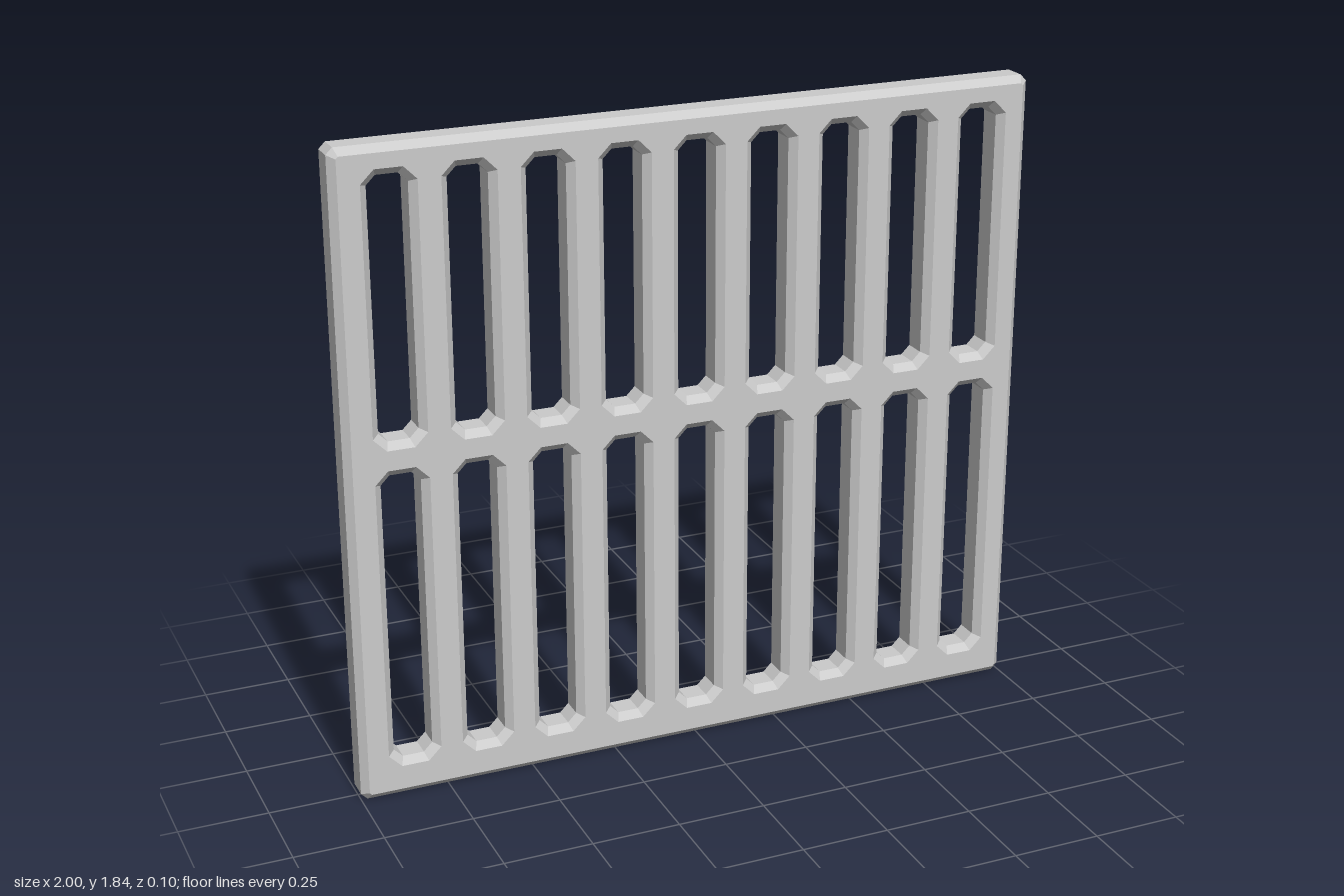
import * as THREE from 'three';

// Rectangle with clipped corners, as a list of points
function clippedRect(x0, y0, x1, y1, c) {
  return [
    [x0 + c, y0], [x1 - c, y0], [x1, y0 + c], [x1, y1 - c],
    [x1 - c, y1], [x0 + c, y1], [x0, y1 - c], [x0, y0 + c],
  ].map(([x, y]) => new THREE.Vector2(x, y));
}

export function createModel() {
  const group = new THREE.Group();
  group.name = 'slottedGrate';
  const height = 1.84, thickness = 0.104, bevel = 0.02;

  // Outer panel outline
  const panel = new THREE.Shape(clippedRect(-1, 0, 1, height, 0.018));

  // Two rows of nine tall slots
  const columns = 9, pitch = 0.2125, halfWidth = 0.055;
  const rows = [[0.11, 0.944], [1.04, 1.758]];
  for (const [bottom, top] of rows) {
    for (let i = 0; i < columns; i++) {
      const x = 0.004 + (i - (columns - 1) / 2) * pitch;
      panel.holes.push(new THREE.Path(
        clippedRect(x - halfWidth, bottom, x + halfWidth, top, 0.025)));
    }
  }

  // Chamfer every rim: the outline shrinks and the slots widen at both faces
  const depth = thickness - 2 * bevel;
  const geometry = new THREE.ExtrudeGeometry(panel, {
    depth, bevelEnabled: true, bevelThickness: bevel,
    bevelSize: bevel, bevelOffset: -bevel, bevelSegments: 1,
  });
  geometry.translate(0, 0, -depth / 2);

  const grate = new THREE.Mesh(geometry,
    new THREE.MeshStandardMaterial({ color: 0xcccccc, flatShading: true }));
  grate.name = 'gratePanel';
  group.add(grate);
  return group;
}
